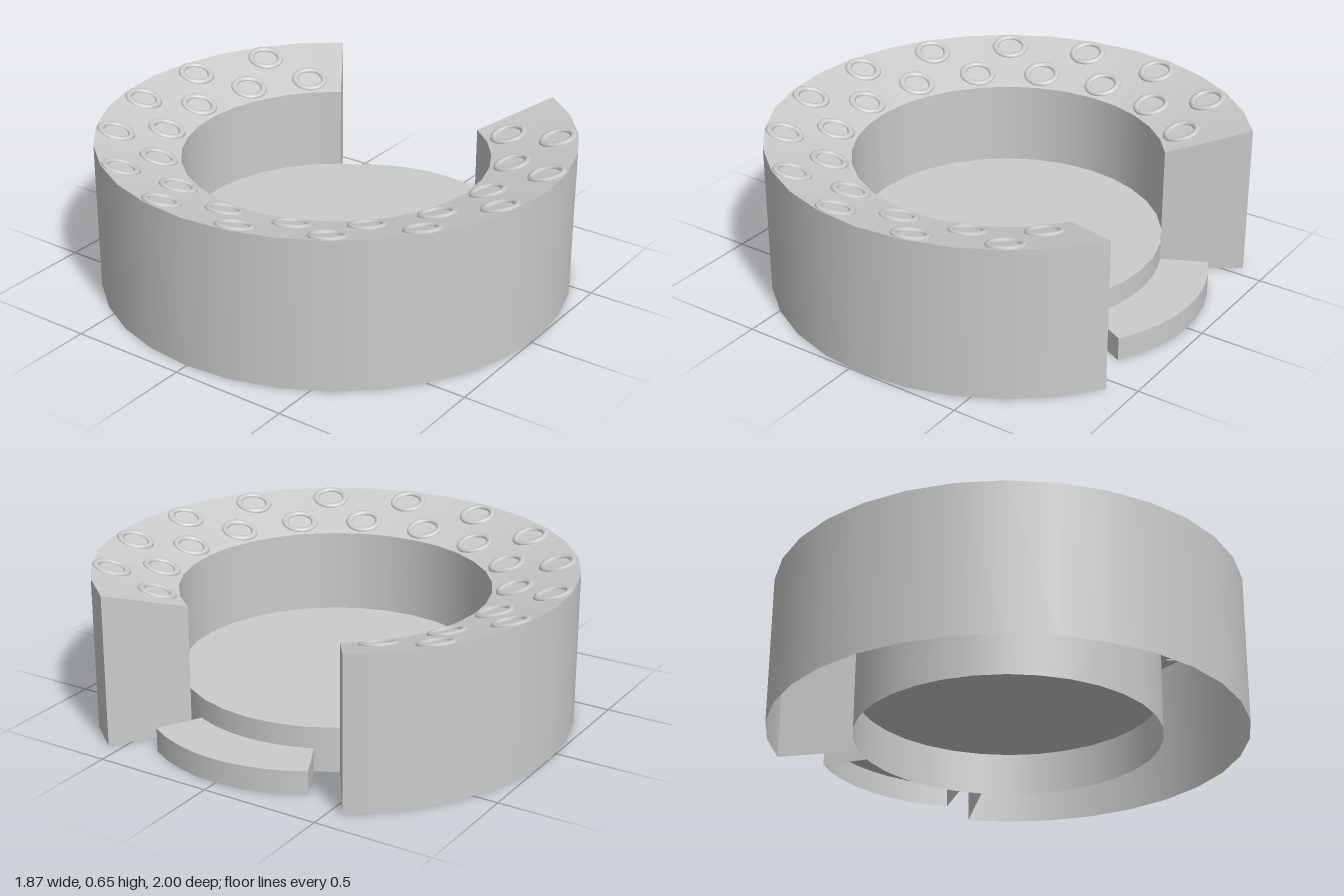
import * as THREE from 'three';

const CX = 0.06;            // centre of the round body along x
const R_OUT = 1, R_IN = 0.645;
const H_OUT = 0.645, H_IN = 0.545, FLOOR = 0.19, TRAY = 0.1;
const rad = THREE.MathUtils.degToRad;
const GAP = rad(33.75);     // half angle of the opening, facing +x

export function createModel() {
  const model = new THREE.Group();
  model.name = 'ringTray';
  const material = new THREE.MeshStandardMaterial({ color: 0xcccccc, side: THREE.DoubleSide });

  const add = (name, geometry, parent = model) => {
    const mesh = new THREE.Mesh(geometry, material);
    mesh.name = name;
    parent.add(mesh);
    return mesh;
  };
  // Band swept around y between two (radius, height) points, leaving a gap around +x
  const band = (r0, y0, r1, y1, gap = 0) => new THREE.LatheGeometry(
    [new THREE.Vector2(r0, y0), new THREE.Vector2(r1, y1)],
    gap ? 26 : 32, Math.PI / 2 + gap, 2 * (Math.PI - gap));

  const body = new THREE.Group();
  body.name = 'body';
  body.position.x = CX;
  model.add(body);

  // Hollow ring: outer wall, sloping rim, inner wall
  add('outerWall', band(R_OUT, 0, R_OUT, H_OUT, GAP), body);
  add('slopingRim', band(R_OUT, H_OUT, R_IN, H_IN, GAP), body);
  add('innerWall', band(R_IN, H_IN, R_IN, FLOOR, GAP), body);

  // Raised floor on a full round base
  add('baseWall', band(R_IN, FLOOR, R_IN, 0), body);
  const floor = new THREE.CircleGeometry(R_IN, 32).rotateX(-Math.PI / 2);
  add('floor', floor, body).position.y = FLOOR;

  // Flat walls closing both ends of the ring
  const endShape = new THREE.Shape([
    new THREE.Vector2(R_IN, 0), new THREE.Vector2(R_OUT, 0),
    new THREE.Vector2(R_OUT, H_OUT), new THREE.Vector2(R_IN, H_IN),
  ]);
  for (const side of [-1, 1]) {
    add('endWall', new THREE.ShapeGeometry(endShape), body).rotation.y = side * GAP;
  }

  // Two staggered rows of small rings lying on the sloping rim
  const slope = Math.atan2(H_OUT - H_IN, R_OUT - R_IN);
  const ringGeometry = new THREE.TorusGeometry(0.066, 0.015, 8, 28)
    .scale(1, 1, 0.8).rotateX(-Math.PI / 2).rotateZ(slope);
  const rows = [
    { name: 'outerRing', radius: 0.917, start: 56.25, count: 12 },
    { name: 'innerRing', radius: 0.738, start: 45, count: 13 },
  ];
  for (const { name, radius, start, count } of rows) {
    for (let i = 0; i < count; i++) {
      const a = rad(start + i * 22.5);
      const ring = add(name, ringGeometry, body);
      ring.position.set(radius * Math.cos(a),
        H_IN + (radius - R_IN) * Math.tan(slope), -radius * Math.sin(a));
      ring.rotation.y = a;
    }
  }

  // Low hollow step in the opening: curved front, top and two sides
  const stepX = 0.26, stepR = 0.67, stepA = rad(32.5), innerA = rad(24.7);
  const front = new THREE.LatheGeometry(
    [new THREE.Vector2(stepR, 0), new THREE.Vector2(stepR, TRAY)],
    8, Math.PI / 2 - stepA, 2 * stepA);
  add('stepFront', front).position.x = stepX;

  const outline = [];
  for (let i = 0; i <= 8; i++) {
    const a = stepA * (i / 4 - 1);
    outline.push(new THREE.Vector2(stepX + stepR * Math.cos(a), stepR * Math.sin(a)));
  }
  for (let i = 0; i <= 8; i++) {
    const a = innerA * (1 - i / 4);
    outline.push(new THREE.Vector2(CX + R_IN * Math.cos(a), R_IN * Math.sin(a)));
  }
  const top = new THREE.ShapeGeometry(new THREE.Shape(outline)).rotateX(-Math.PI / 2);
  add('stepTop', top).position.y = TRAY;

  const outer = outline[8], inner = outline[9];
  const length = outer.distanceTo(inner);
  const angle = Math.atan2(outer.y - inner.y, outer.x - inner.x);
  for (const side of [-1, 1]) {
    const wall = add('stepSide', new THREE.PlaneGeometry(length, TRAY));
    wall.position.set((outer.x + inner.x) / 2, TRAY / 2, side * (outer.y + inner.y) / 2);
    wall.rotation.y = -side * angle;
  }
  return model;
}
